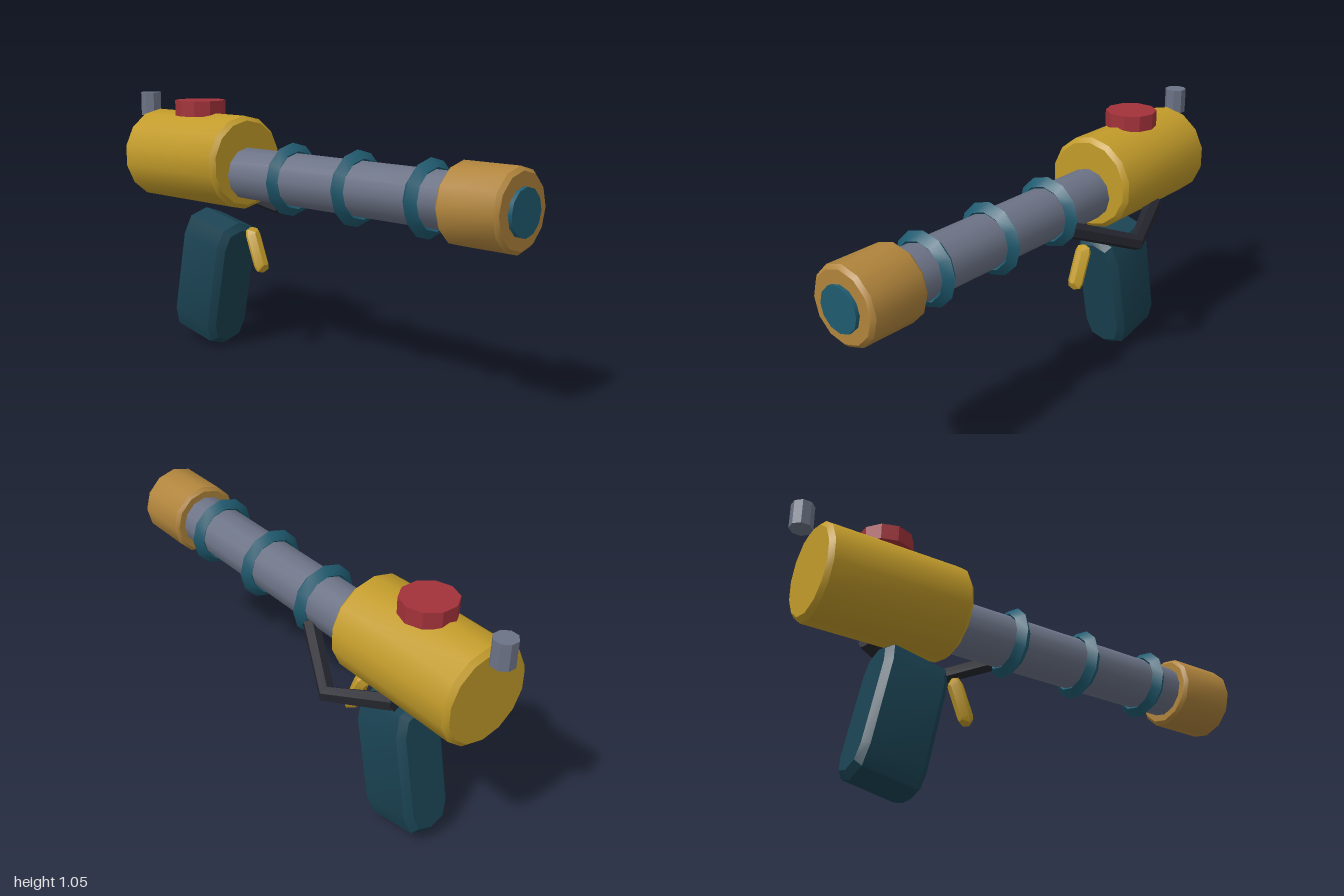
import * as THREE from 'three';
import { toCreasedNormals } from 'three/addons/utils/BufferGeometryUtils.js';

const AXIS_X = -0.033;
const COLORS = {
  yellow: 0xc29b2a, bronze: 0xb0843c, steel: 0x6c7386, teal: 0x1f5b70,
  darkTeal: 0x1a4252, red: 0xa2323a, black: 0x25262e,
};

export function createModel() {
  const model = new THREE.Group();
  model.name = 'toyBlaster';

  function add(name, geometry, color, x, y, z) {
    const material = new THREE.MeshStandardMaterial({ color: COLORS[color] });
    const mesh = new THREE.Mesh(toCreasedNormals(geometry, 0.6), material);
    mesh.name = name;
    mesh.position.set(x, y, z);
    model.add(mesh);
    return mesh;
  }

  // Cylinder along z with chamfered rims
  function drum(radius, z0, z1, sides, bevel = 0) {
    const profile = [
      [0, z0], [radius - bevel, z0], [radius, z0 + bevel],
      [radius, z1 - bevel], [radius - bevel, z1], [0, z1],
    ].filter((p, i) => bevel || (i !== 2 && i !== 3));
    const points = profile.map(([r, z]) => new THREE.Vector2(r, z));
    return new THREE.LatheGeometry(points, sides).rotateX(Math.PI / 2);
  }

  // Round-ended bar with a chamfered edge on its front and back faces
  function roundedBar(width, height, depth, bevel) {
    const w = width / 2 - bevel, h = height / 2 - bevel;
    const shape = new THREE.Shape();
    shape.moveTo(w, w - h);
    shape.lineTo(w, h - w);
    shape.quadraticCurveTo(w, h, 0, h);
    shape.quadraticCurveTo(-w, h, -w, h - w);
    shape.lineTo(-w, w - h);
    shape.quadraticCurveTo(-w, -h, 0, -h);
    shape.quadraticCurveTo(w, -h, w, w - h);
    return new THREE.ExtrudeGeometry(shape, {
      depth: depth - 2 * bevel, curveSegments: 2,
      bevelSize: bevel, bevelThickness: bevel, bevelSegments: 1,
    }).translate(0, 0, bevel - depth / 2);
  }

  // Body, barrel and muzzle
  add('body', drum(0.19, -0.915, -0.33, 14, 0.018), 'yellow', AXIS_X, 0.79, 0);
  add('barrel', drum(0.105, -0.4, 0.8, 12), 'steel', AXIS_X, 0.748, 0);
  add('muzzle', drum(0.147, 0.733, 0.985, 12, 0.014), 'bronze', AXIS_X, 0.748, 0);
  add('muzzlePlug', drum(0.085, 0.9, 1, 12), 'teal', AXIS_X, 0.745, 0);

  // Diamond-section rings along the barrel
  for (let i = 0; i < 3; i++) {
    add('barrelRing', new THREE.TorusGeometry(0.113, 0.031, 4, 12), 'teal',
      AXIS_X, 0.748, -0.068 + i * 0.3385);
  }

  // Button and rear sight
  add('topButton', new THREE.CylinderGeometry(0.105, 0.105, 0.064, 10).rotateY(Math.PI / 2),
    'red', AXIS_X, 0.999, -0.62);
  add('rearSight', new THREE.CylinderGeometry(0.044, 0.044, 0.1, 8).rotateY(Math.PI / 8),
    'steel', AXIS_X, 1.0, -0.959);

  // Grip and trigger
  add('grip', roundedBar(0.21, 0.545, 0.26, 0.025), 'darkTeal', AXIS_X, 0.289, -0.544)
    .rotation.x = 0.2;
  add('trigger', roundedBar(0.07, 0.19, 0.056, 0.023), 'yellow', AXIS_X, 0.439, -0.277)
    .rotation.x = -0.38;

  // Bent side lever on the left
  const start = new THREE.Vector3(0.05, 0.685, -0.1);
  const bend = new THREE.Vector3(0.186, 0.58, -0.365);
  const end = new THREE.Vector3(0.095, 0.655, -0.62);
  const path = new THREE.Curve();
  path.getPoint = (t, target = new THREE.Vector3()) => (t < 0.5
    ? target.lerpVectors(start, bend, t * 2)
    : target.lerpVectors(bend, end, t * 2 - 1));
  path.getPointAt = path.getPoint;
  path.getTangentAt = path.getTangent;
  add('sideLever', new THREE.TubeGeometry(path, 2, 0.034, 6), 'black', 0, 0, 0);
  for (const tip of [start, end]) {
    const cap = add('leverEnd', new THREE.CircleGeometry(0.034, 6), 'black', tip.x, tip.y, tip.z);
    cap.lookAt(tip.clone().multiplyScalar(2).sub(bend));
    cap.material.side = THREE.DoubleSide;
  }

  return model;
}
